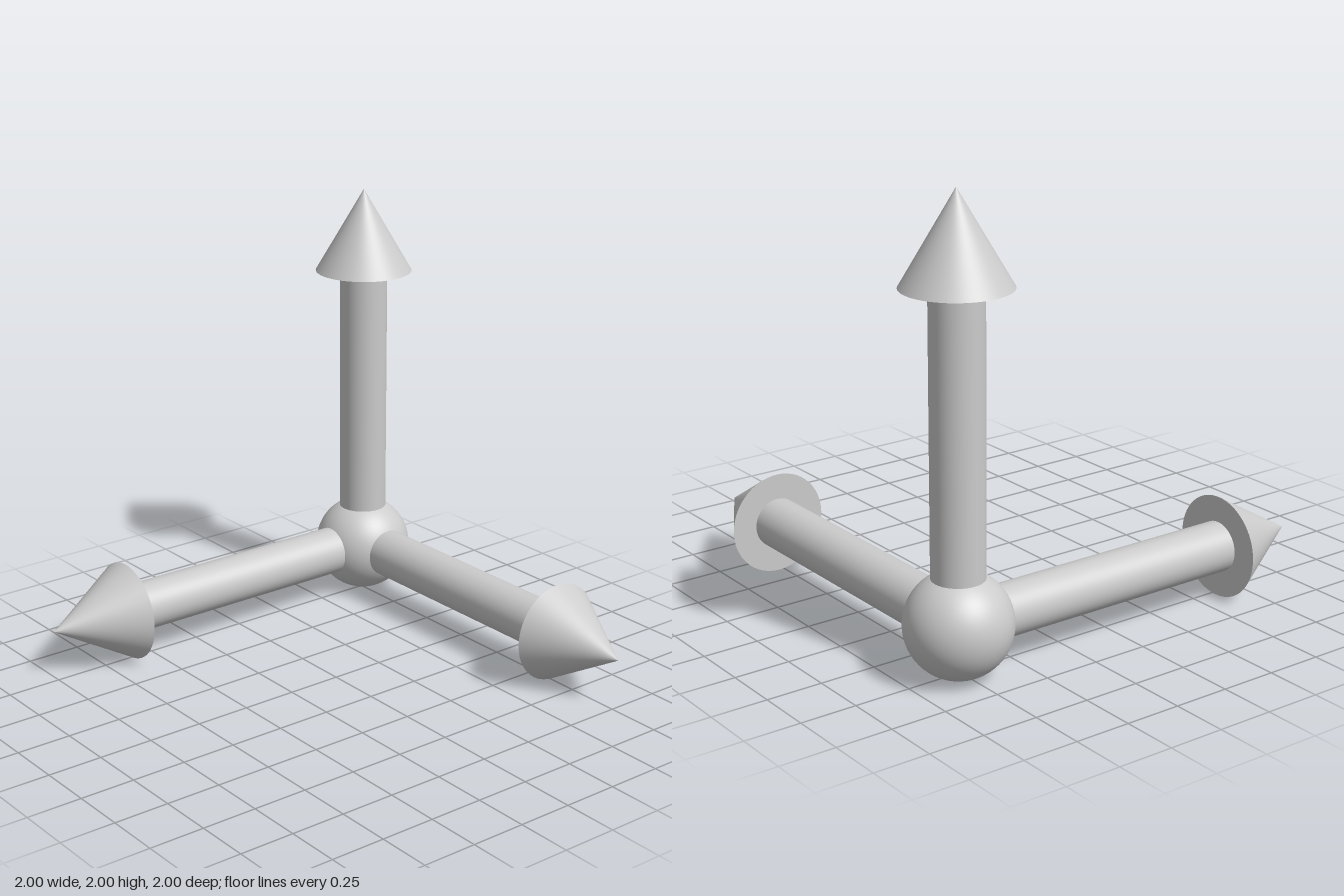
import * as THREE from 'three';

const BALL_RADIUS = 0.227;
const SHAFT_RADIUS = 0.112;
const HEAD_BASE = 1.383; // distance from the ball centre to the base of the arrowhead
const TIP = 1.773; // distance from the ball centre to the tip
const SEGMENTS = 64;

export function createModel() {
  const model = new THREE.Group();
  model.name = 'axisArrows';
  const material = new THREE.MeshStandardMaterial({ color: 0xcccccc });

  const addMesh = (parent, name, geometry, y = 0) => {
    const mesh = new THREE.Mesh(geometry, material);
    mesh.name = name;
    mesh.position.y = y;
    parent.add(mesh);
  };

  // Ball at the corner where the arrows meet
  addMesh(model, 'originBall', new THREE.SphereGeometry(BALL_RADIUS, SEGMENTS, 32));

  // Arrow parts, built along +y
  const shaft = new THREE.CylinderGeometry(SHAFT_RADIUS, SHAFT_RADIUS, HEAD_BASE, SEGMENTS);
  const head = new THREE.ConeGeometry(BALL_RADIUS, TIP - HEAD_BASE, SEGMENTS, 8);

  // One arrow along each axis
  const up = new THREE.Vector3(0, 1, 0);
  const arrows = {
    sideArrow: new THREE.Vector3(1, 0, 0),
    upArrow: up,
    frontArrow: new THREE.Vector3(0, 0, 1),
  };
  for (const [name, direction] of Object.entries(arrows)) {
    const arrow = new THREE.Group();
    arrow.name = name;
    addMesh(arrow, 'shaft', shaft, HEAD_BASE / 2);
    addMesh(arrow, 'arrowhead', head, (HEAD_BASE + TIP) / 2);
    arrow.quaternion.setFromUnitVectors(up, direction);
    model.add(arrow);
  }

  // Stand on the ground, centred in x and z
  model.position.set(BALL_RADIUS - 1, BALL_RADIUS, BALL_RADIUS - 1);
  const root = new THREE.Group();
  root.name = 'model';
  root.add(model);
  return root;
}
